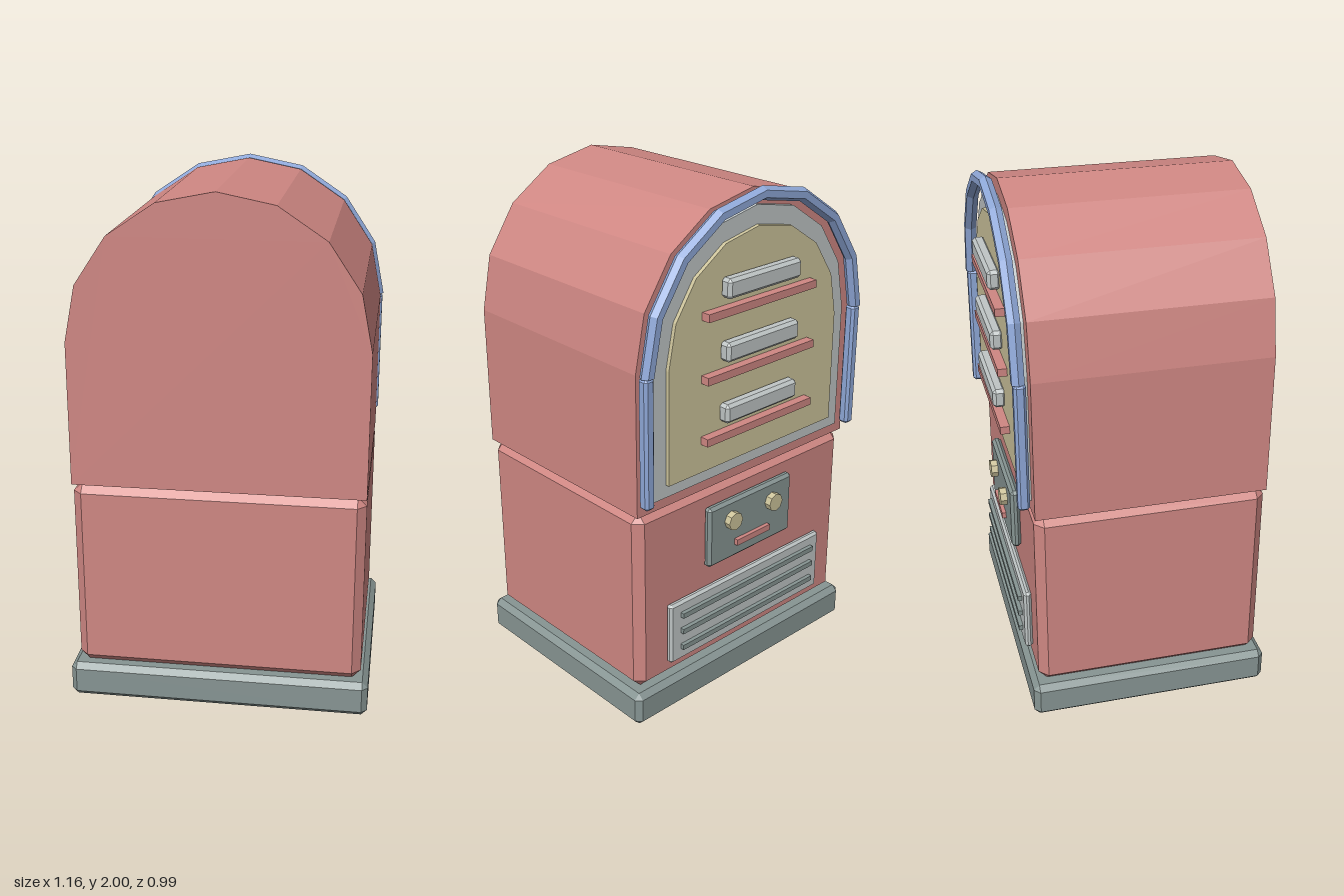
import * as THREE from 'three';
import { ConvexGeometry } from 'three/addons/geometries/ConvexGeometry.js';

const paint = (name, color) => {
  const m = new THREE.MeshStandardMaterial({ color, flatShading: true });
  m.name = name;
  return m;
};

// Box with flat chamfers, given by its centre and size
function chamferBox(w, h, d, c) {
  const pts = [];
  const a = w / 2, b = h / 2, e = d / 2;
  for (const i of [-1, 1]) for (const j of [-1, 1]) for (const k of [-1, 1]) {
    pts.push(
      new THREE.Vector3(i * a, j * (b - c), k * (e - c)),
      new THREE.Vector3(i * (a - c), j * b, k * (e - c)),
      new THREE.Vector3(i * (a - c), j * (b - c), k * e));
  }
  return new ConvexGeometry(pts);
}

// Round-topped slab: an eight-sided half circle on straight sides
function archSlab(r, bottom, spring, z0, z1) {
  const shape = new THREE.Shape();
  shape.moveTo(-r, bottom);
  shape.lineTo(r, bottom);
  for (let i = 0; i <= 8; i++) {
    const t = (i / 8) * Math.PI;
    shape.lineTo(r * Math.cos(t), spring + r * Math.sin(t));
  }
  shape.closePath();
  const geo = new THREE.ExtrudeGeometry(shape, { depth: z1 - z0, bevelEnabled: false });
  return geo.translate(0, 0, z0);
}

export function createModel() {
  const red = paint('rose red', 0xcf8783);
  const slate = paint('slate grey', 0x879593);
  const silver = paint('silver', 0xc0c6c6);
  const cream = paint('cream', 0xcdc49c);
  const blue = paint('sky blue', 0x8fa8d8);

  const model = new THREE.Group();
  model.name = 'jukebox';
  const add = (name, geo, mat, x = 0, y = 0, z = 0) => {
    const mesh = new THREE.Mesh(geo, mat);
    mesh.name = name;
    mesh.position.set(x, y, z);
    model.add(mesh);
    return mesh;
  };

  // Cabinet
  add('base', chamferBox(1.16, 0.14, 0.935, 0.022), slate, 0, 0.07, 0.0245);
  add('lowerCabinet', chamferBox(1.1, 0.75, 0.88, 0.034), red, 0, 0.513, 0.025);
  add('upperCabinet', archSlab(0.55, 0.89, 1.44, -0.415, 0.465), red);

  // Arched display: frame and panel
  add('displayFrame', archSlab(0.49, 0.94, 1.44, -0.435, -0.41), silver);
  add('displayPanel', archSlab(0.43, 0.99, 1.43, -0.45, -0.43), cream);

  // Light tube around the display
  add('archTube', new THREE.TorusGeometry(0.535, 0.026, 6, 8, Math.PI), blue, 0, 1.44, -0.456);
  for (const s of [-1, 1]) {
    add('sideTube', chamferBox(0.044, 0.5, 0.044, 0.01), blue, s * 0.535, 1.19, -0.452);
  }

  // Title strips with a ledge below each
  for (const y of [1.675, 1.44, 1.203]) {
    add('titleStrip', chamferBox(0.37, 0.074, 0.05, 0.012), silver, 0, y, -0.468);
    add('ledge', new THREE.BoxGeometry(0.55, 0.03, 0.045), red, 0, y - 0.083, -0.4625);
  }

  // Coin panel with two knobs and a slot
  add('coinPanel', chamferBox(0.45, 0.255, 0.036, 0.012), slate, 0, 0.688, -0.433);
  for (const s of [-1, 1]) {
    const knob = new THREE.CylinderGeometry(0.036, 0.036, 0.035, 8).rotateX(Math.PI / 2);
    add('knob', knob, cream, s * 0.11, 0.735, -0.46);
  }
  add('coinSlot', new THREE.BoxGeometry(0.18, 0.025, 0.03), red, 0, 0.63, -0.452);

  // Speaker grille
  add('grille', chamferBox(0.83, 0.26, 0.03, 0.01), silver, 0, 0.343, -0.43);
  for (const y of [0.418, 0.348, 0.276]) {
    add('grilleSlat', new THREE.BoxGeometry(0.73, 0.021, 0.03), slate, 0, y, -0.446);
  }

  return model;
}
